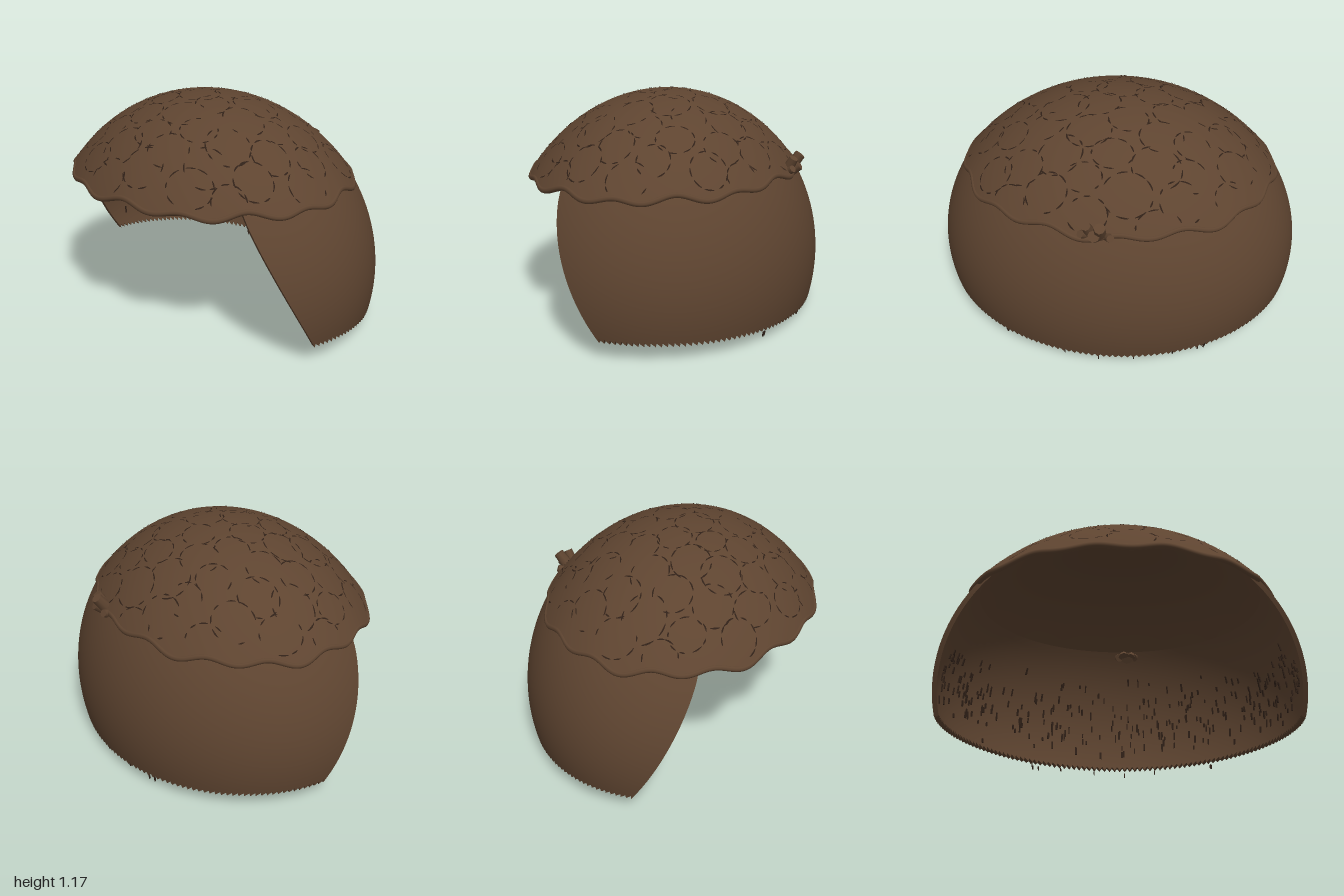
import * as THREE from 'three';
import { mergeGeometries, mergeVertices } from 'three/addons/utils/BufferGeometryUtils.js';

const TAU = Math.PI * 2;
const lerp = THREE.MathUtils.lerp;

// Small seeded generator
let seed = 7;
function rand() {
  seed = (seed * 16807) % 2147483647;
  return seed / 2147483647;
}

// Point on the egg-shaped head form; phi from the crown, theta from the front
function onHead(phi, theta, k = 1) {
  const r = Math.sin(phi) * k;
  return new THREE.Vector3(
    r * Math.sin(theta), 0.27 + 0.9 * k * Math.cos(phi), 0.05 + 0.84 * r * Math.cos(theta));
}
const phiAt = y => Math.acos((y - 0.27) / 0.9);

// Smooth surface from f(u, v)
function grid(f, nu, nv, flip = false) {
  const pos = [], idx = [];
  for (let j = 0; j <= nv; j++)
    for (let i = 0; i <= nu; i++) pos.push(...f(i / nu, j / nv).toArray());
  for (let j = 0; j < nv; j++)
    for (let i = 0; i < nu; i++) {
      const a = j * (nu + 1) + i, b = a + 1, c = a + nu + 1, d = c + 1;
      if (flip) idx.push(a, b, c, b, d, c);
      else idx.push(a, c, b, b, c, d);
    }
  const g = new THREE.BufferGeometry();
  g.setAttribute('position', new THREE.Float32BufferAttribute(pos, 3));
  g.setIndex(idx);
  const merged = mergeVertices(g, 1e-5);
  merged.computeVertexNormals();
  return merged;
}

// Back and side shell, with a slanted front edge and a saw-toothed hem
const TEETH = 100, COLS = TEETH * 2;
function shellPoint(u, v, k) {
  const tooth = v > 0.999 && Math.round(u * COLS) % 2 ? 0.022 : 0;
  const hem = 0.09 - 0.045 * (0.5 - 0.5 * Math.cos(TAU * u)) + tooth;
  const y = lerp(0.8, hem, v);
  const phi = phiAt(y);
  const t = Math.max(0, (0.73 - y) / 0.63);
  const zEdge = 0.38 - 0.26 * Math.pow(t, 1.6);
  const edge = Math.acos((zEdge - 0.05) / (0.84 * Math.sin(phi)));
  return onHead(phi, lerp(edge, TAU - edge, u), k);
}

// Cap layer with a wavy rim
const rimPhi = th => 1.0 + 0.014 * Math.cos(th) + 0.018 * Math.sin(15 * th + 0.6)
  + 0.009 * Math.sin(8 * th + 2);
function capPoint(phi, theta, lift = 0) {
  const t = Math.min(1, phi / rimPhi(theta));
  return onHead(phi, theta, 1.001 + 0.012 * Math.pow(t, 5) + lift);
}

// Broken curl outlines laid over the cap
function curlLines() {
  const parts = [], count = 60, up = new THREE.Vector3(0, 1, 0);
  for (let i = 0; i < count; i++) {
    const phi = Math.acos(1 - (i + 0.5) / count * (1 - Math.cos(0.95)));
    const th = i * 2.39996 + rand() * 0.12;
    const d = new THREE.Vector3(Math.sin(phi) * Math.sin(th), Math.cos(phi), Math.sin(phi) * Math.cos(th));
    const e1 = new THREE.Vector3().crossVectors(up, d).normalize();
    const e2 = new THREE.Vector3().crossVectors(d, e1);
    const radius = 0.095 + rand() * 0.035, squash = 0.85 + rand() * 0.3;
    const at = (a, r) => {
      const p = d.clone().addScaledVector(e1, Math.cos(a) * r)
        .addScaledVector(e2, Math.sin(a) * r * squash).normalize();
      return [Math.acos(p.y), Math.atan2(p.x, p.z)];
    };
    const dashes = 9;
    for (let k = 0; k < dashes; k++) {
      if (rand() < 0.2) continue;
      const a0 = (k + rand() * 0.25) / dashes * TAU;
      const span = (0.4 + rand() * 0.4) / dashes * TAU;
      const [pm, tm] = at(a0 + span / 2, radius);
      if (pm > rimPhi(tm) - 0.035) continue;
      parts.push(grid((u, v) => {
        const w = 0.0045 * Math.sin(Math.PI * (0.12 + 0.76 * u));
        return capPoint(...at(a0 + span * u, radius + lerp(-w, w, v)), 0.003);
      }, 5, 1));
    }
  }
  return mergeGeometries(parts);
}

// Short strands on the inside wall, plus a few loose ones under the hem
function strands() {
  const parts = [];
  const add = (y, theta, k, w, h) => {
    const g = new THREE.BoxGeometry(w, h, 0.008);
    const p = onHead(phiAt(y), theta, k);
    g.rotateX(-(y - 0.27) * 0.9);
    g.rotateY(theta);
    g.translate(p.x, p.y, p.z);
    parts.push(g);
  };
  for (let i = 0; i < 300; i++)
    add(0.12 + 0.53 * Math.sqrt(rand()) * (0.4 + 0.6 * rand()), Math.PI + (rand() * 2 - 1) * 1.6,
      0.972, 0.006 + rand() * 0.005, 0.02 + rand() * 0.03);
  for (let i = 0; i < 9; i++)
    add(i ? 0.025 + rand() * 0.025 : 0.0125, Math.PI + (rand() * 2 - 1) * 0.7, 0.985, 0.004, 0.025);
  return mergeGeometries(parts);
}

// Little flared tuft at the back of the rim
function tuft() {
  const group = new THREE.Group();
  group.name = 'backTuft';
  const locks = [
    [-0.03, 0.78, -0.68, 0.02], [0.02, 0.85, -0.695, 0.028], [0.05, 0.8, -0.695, 0.03],
    [0.09, 0.84, -0.67, 0.024], [0.12, 0.79, -0.67, 0.02]];
  for (const [x, y, z, r] of locks) {
    const root = new THREE.Vector3(0.04 + (x - 0.04) * 0.6, 0.755, -0.625);
    const dir = new THREE.Vector3(x, y, z).sub(root);
    const lock = new THREE.Mesh(new THREE.CylinderGeometry(r, r * 1.3, dir.length(), 8), null);
    lock.position.copy(root).addScaledVector(dir, 0.5);
    lock.quaternion.setFromUnitVectors(new THREE.Vector3(0, 1, 0), dir.clone().normalize());
    lock.name = 'tuftLock';
    group.add(lock);
  }
  return group;
}

export function createModel() {
  seed = 7;
  const hair = new THREE.MeshStandardMaterial({ color: 0x5e4430, side: THREE.DoubleSide });
  hair.name = 'brown hair';
  const dark = new THREE.MeshStandardMaterial({ color: 0x2f2017, side: THREE.DoubleSide });
  dark.name = 'dark brown strands';

  const model = new THREE.Group();
  model.name = 'hairPiece';
  const add = (name, geometry, material = hair) => {
    const mesh = new THREE.Mesh(geometry, material);
    mesh.name = name;
    model.add(mesh);
  };

  // Shell
  const IN = 0.975;
  add('shellOuter', grid((u, v) => shellPoint(u, v, 1), COLS, 24));
  add('shellInner', grid((u, v) => shellPoint(u, v, IN), COLS, 24, true));
  add('shellHem', grid((u, v) => shellPoint(u, 1, lerp(1, IN, v)), COLS, 1));
  for (const side of [0, 1])
    add(side ? 'shellRightEdge' : 'shellLeftEdge',
      grid((u, v) => shellPoint(side, v, lerp(1, IN, u)), 1, 24, side === 0));

  // Cap
  add('capOuter', grid((u, v) => {
    const th = u * TAU;
    return capPoint(v * rimPhi(th), th);
  }, 180, 44));
  add('capInner', grid((u, v) => {
    const th = u * TAU;
    return onHead(v * rimPhi(th), th, 0.965 + 0.022 * Math.pow(v, 8));
  }, 120, 24, true));

  // Rolled rim
  const rim = [];
  for (let i = 0; i < 180; i++) {
    const th = i / 180 * TAU;
    rim.push(onHead(rimPhi(th), th, 1.0));
  }
  add('capRim', new THREE.TubeGeometry(new THREE.CatmullRomCurve3(rim, true), 360, 0.016, 8, true));

  add('curlLines', curlLines(), dark);
  add('innerStrands', strands(), dark);

  const back = tuft();
  back.children.forEach(m => { m.material = hair; });
  model.add(back);
  return model;
}
